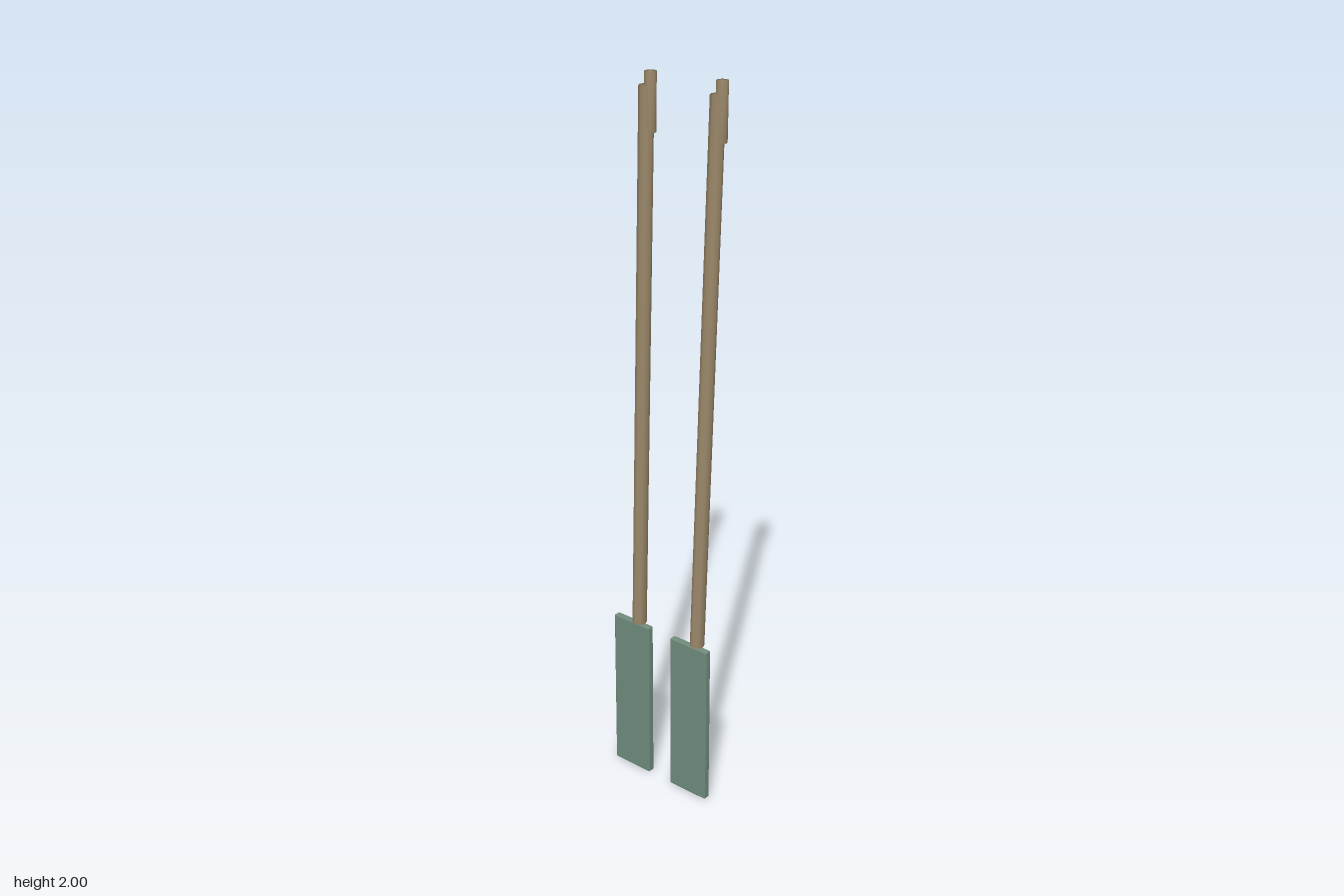
import * as THREE from 'three';
import { mergeVertices } from 'three/addons/utils/BufferGeometryUtils.js';
import { RoundedBoxGeometry } from 'three/addons/geometries/RoundedBoxGeometry.js';

// Shares corner vertices so shading runs softly over the edges
function soften(geometry) {
  geometry.deleteAttribute('normal');
  geometry.deleteAttribute('uv');
  const merged = mergeVertices(geometry, 1e-5);
  merged.computeVertexNormals();
  return merged;
}

// Straight rod whose ends stay level: it leans by shearing along z
function rod(name, radius, sides, x, y0, z0, y1, z1, material) {
  const height = y1 - y0;
  const geometry = new THREE.CylinderGeometry(radius, radius, height, sides);
  const p = geometry.attributes.position;
  for (let i = 0; i < p.count; i++) {
    const t = p.getY(i) / height + 0.5;
    p.setXYZ(i, p.getX(i) + x, y0 + t * height, p.getZ(i) + z0 + t * (z1 - z0));
  }
  const mesh = new THREE.Mesh(soften(geometry), material);
  mesh.name = name;
  return mesh;
}

export function createModel() {
  const model = new THREE.Group();
  model.name = 'oars';

  const wood = new THREE.MeshStandardMaterial({ color: 0x9a8769 });
  wood.name = 'wood';
  const paint = new THREE.MeshStandardMaterial({ color: 0x708c7d });
  paint.name = 'greenPaint';

  // Each oar: blade centre x, shaft x, shaft z at the foot and at the top
  const oars = [
    { name: 'rightOar', bladeX: -0.104, x: -0.086, footZ: 0.033, topZ: -0.009 },
    { name: 'leftOar', bladeX: 0.102, x: 0.119, footZ: 0.029, topZ: -0.035 },
  ];

  for (const o of oars) {
    const oar = new THREE.Group();
    oar.name = o.name;

    // Flat blade with slightly eased edges
    const blade = new THREE.Mesh(
      soften(new RoundedBoxGeometry(0.127, 0.474, 0.02, 1, 0.003)), paint);
    blade.name = 'blade';
    blade.position.set(o.bladeX, 0.237, 0.038);
    oar.add(blade);

    // Long leaning shaft
    oar.add(rod('shaft', 0.02, 8, o.x, 0.474, o.footZ, 1.965, o.topZ, wood));

    // Short grip beside the shaft top
    oar.add(rod('grip', 0.016, 10, o.x + 0.0125, 1.85, o.topZ + 0.001, 2, o.topZ - 0.001, wood));

    model.add(oar);
  }
  return model;
}
